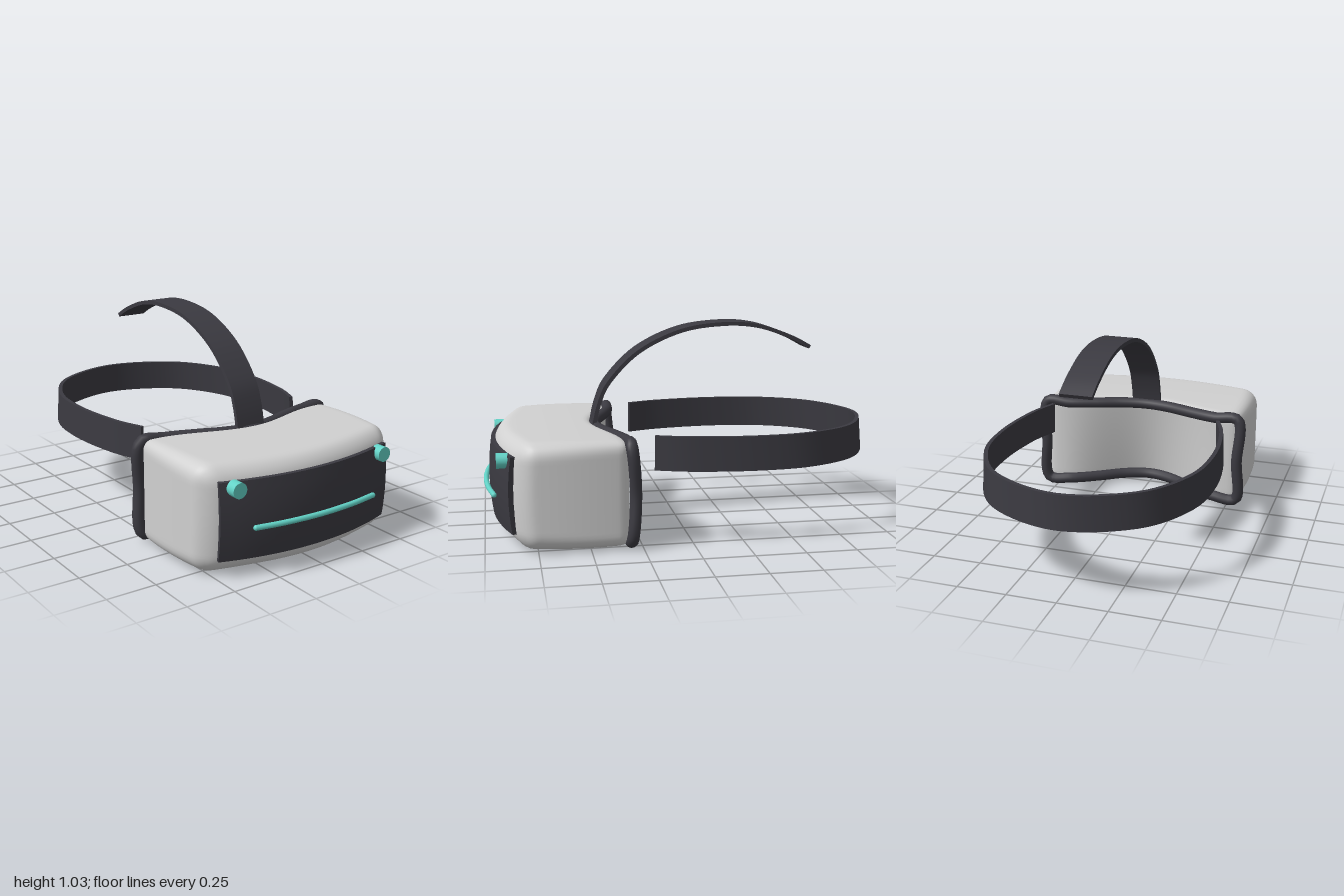
import * as THREE from 'three';
import { mergeVertices, toCreasedNormals } from 'three/addons/utils/BufferGeometryUtils.js';

const MID = 0.264; // height of the visor's centre line

// Strip of even thickness along a flat curve, extruded to a width
function strip(points, thickness, width, divisions, steps = 1) {
  const curve = new THREE.SplineCurve(points.map(([a, b]) => new THREE.Vector2(a, b)));
  const outer = [], inner = [];
  for (let i = 0; i <= divisions; i++) {
    const p = curve.getPointAt(i / divisions), t = curve.getTangentAt(i / divisions);
    const n = new THREE.Vector2(-t.y, t.x).multiplyScalar(thickness / 2);
    outer.push(p.clone().add(n));
    inner.unshift(p.clone().sub(n));
  }
  return new THREE.ExtrudeGeometry(new THREE.Shape([...outer, ...inner]),
    { depth: width, steps, bevelEnabled: false });
}

function moveVertices(geometry, rule) {
  const pos = geometry.attributes.position, p = new THREE.Vector3();
  for (let i = 0; i < pos.count; i++) {
    rule(p.fromBufferAttribute(pos, i));
    pos.setXYZ(i, p.x, p.y, p.z);
  }
  return geometry;
}

// Depth of the face side: hollowed for the nose, deeper towards the bottom
function faceDepth(x, y) {
  const bump = 0.5 * (1 + Math.cos(Math.PI * Math.min(1, Math.abs(x) / 0.5)));
  return 0.305 + (0.17 - 0.05 * (y - MID) / 0.24) * bump;
}

// Rounded block bent to the visor's curves
function visorGeometry() {
  const half = new THREE.Vector3(0.575, 0.262, 0.3);
  const box = new THREE.BoxGeometry(1.15, 0.524, 0.6, 54, 26, 28);
  moveVertices(box, p => {
    const r = 0.05 + 0.04 * (p.z + 0.3) / 0.6;
    const lim = half.clone().subScalar(r);
    const core = p.clone().clamp(lim.clone().negate(), lim);
    p.sub(core).normalize().multiplyScalar(r).add(core);
    const t = (p.z + 0.3) / 0.6;
    const front = 0.945 - 0.33 * p.x * p.x - 0.015 * (p.y / 0.262) ** 2;
    const back = faceDepth(p.x, p.y + MID) + 0.01;
    p.z = back + (front - back) * t;
    const k = (p.z - 0.58) ** 2;
    p.x *= 1 - 0.4 * k;
    p.y = MID + p.y * (1 - 0.35 * k);
  });
  box.deleteAttribute('uv');
  box.deleteAttribute('normal');
  const smooth = mergeVertices(box, 1e-5);
  smooth.computeVertexNormals();
  return smooth;
}

export function createModel() {
  const model = new THREE.Group();
  model.name = 'headset';
  const material = (name, color) => {
    const m = new THREE.MeshStandardMaterial({ color });
    m.name = name;
    return m;
  };
  const shell = material('lightGrey', 0xd0d0d0);
  const dark = material('charcoal', 0x3b3a41);
  const accent = material('teal', 0x62d2c6);
  const add = (name, geometry, mat) => {
    const mesh = new THREE.Mesh(geometry, mat);
    mesh.name = name;
    model.add(mesh);
    return mesh;
  };

  add('visorBody', visorGeometry(), shell);

  // Curved front panel
  const panelLine = [];
  for (let i = -5; i <= 5; i++) {
    const x = i * 0.0985;
    panelLine.push([x, -(0.957 - 0.35 * x * x)]);
  }
  const panel = strip(panelLine, 0.025, 0.375, 24, 8);
  panel.rotateX(-Math.PI / 2).translate(0, 0.08, 0);
  moveVertices(panel, p => { p.z -= 0.015 * ((p.y - 0.2675) / 0.1875) ** 2; });
  add('frontPanel', toCreasedNormals(panel, 0.6), dark);

  // Light bar with rounded ends
  const barPoint = x => new THREE.Vector3(x, 0.24, 0.986 - 0.3 * x * x);
  const barCurve = new THREE.CatmullRomCurve3([-0.35, -0.2, 0, 0.2, 0.35].map(barPoint));
  add('lightBar', new THREE.TubeGeometry(barCurve, 32, 0.013, 10), accent);
  for (const s of [-1, 1]) {
    add('lightBarEnd', new THREE.SphereGeometry(0.013, 10, 8), accent)
      .position.copy(barPoint(s * 0.35));
    // Round sensors on the panel's upper corners
    const sensor = add('sensor', new THREE.CylinderGeometry(0.037, 0.037, 0.055, 24), accent);
    sensor.rotation.x = Math.PI / 2;
    sensor.position.set(s * 0.428, 0.426, 0.908);
  }

  // Face cushion: a closed tube round the rear opening
  const xs = [0.55, 0.42, 0.28, 0.14, 0, -0.14, -0.28, -0.42, -0.55];
  const rim = (x, y) => new THREE.Vector3(x, y, faceDepth(x, y));
  const loop = [
    ...xs.map(x => rim(x, 0.497)),
    new THREE.Vector3(-0.553, MID, 0.287),
    ...xs.map(x => rim(-x, 0.035)),
    new THREE.Vector3(0.553, MID, 0.287),
  ];
  const cushion = new THREE.CatmullRomCurve3(loop, true);
  add('faceCushion', new THREE.TubeGeometry(cushion, 140, 0.03, 12, true), dark);

  // Strap round the back of the head, leaning slightly outwards at the bottom
  const side = [[0.465, -0.18], [0.525, 0], [0.557, 0.3], [0.515, 0.59], [0.34, 0.85]];
  const ring = [...side.map(([x, y]) => [-x, y]), [0, 0.978], ...side.slice().reverse()];
  const headStrap = strip(ring, 0.02, 0.168, 64);
  headStrap.rotateX(-Math.PI / 2).translate(0, 0.36, 0);
  moveVertices(headStrap, p => {
    const lean = 1 + 0.014 * (0.528 - p.y) / 0.168;
    p.x *= lean;
    p.z *= lean;
  });
  add('headStrap', toCreasedNormals(headStrap, 0.6), dark);

  // Strap over the top of the head
  const arch = [[0.435, 0.5], [0.41, 0.61], [0.355, 0.73], [0.2, 0.884], [-0.02, 0.987],
    [-0.25, 1.018], [-0.43, 1.003], [-0.6, 0.945], [-0.705, 0.89]];
  const topStrap = strip(arch, 0.02, 0.16, 40);
  topStrap.rotateY(-Math.PI / 2).translate(0.08, 0, 0);
  add('topStrap', toCreasedNormals(topStrap, 0.6), dark);

  return model;
}
